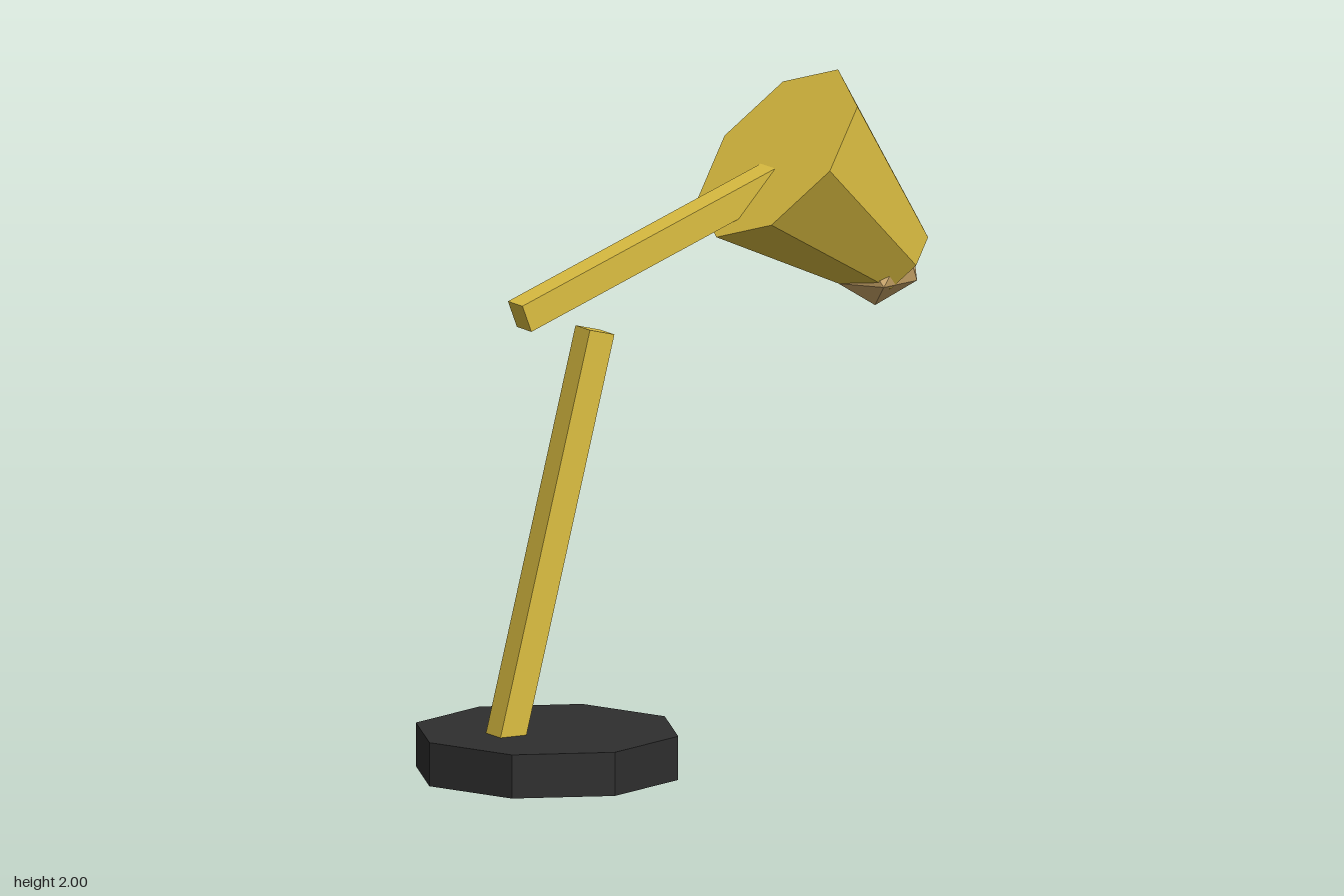
import * as THREE from 'three';

export function createModel() {
  const group = new THREE.Group();
  const material = (name, color) => {
    const m = new THREE.MeshStandardMaterial({ color });
    m.name = name;
    return m;
  };
  const gold = material('gold paint', 0xdcbe41);
  const black = material('black base', 0x2e2e2e);
  const glass = material('warm bulb', 0xd2ac6c);

  // Adds a faceted part, tilted about z by an angle in degrees
  const add = (name, geometry, mat, x, y, degrees = 0) => {
    const faceted = geometry.index ? geometry.toNonIndexed() : geometry;
    faceted.computeVertexNormals();
    const mesh = new THREE.Mesh(faceted, mat);
    mesh.name = name;
    mesh.position.set(x, y, 0);
    mesh.rotation.z = THREE.MathUtils.degToRad(degrees);
    group.add(mesh);
  };

  // Octagonal foot
  add('base', new THREE.CylinderGeometry(0.397, 0.397, 0.13, 8), black, -0.432, 0.065);

  // Two equal square arms; the upper one runs into the shade
  const arm = () => new THREE.BoxGeometry(0.085, 1.236, 0.085);
  add('lowerArm', arm(), gold, -0.423, 0.706, -14.3);
  add('upperArm', arm(), gold, 0.053, 1.59, -69.1);

  // Closed octagonal shade, wide end up and back, narrow end forward and down
  add('shade', new THREE.CylinderGeometry(0.308, 0.134, 0.525, 8), gold, 0.5405, 1.595, 48.2);

  // Bulb with one corner pointing straight down
  add('bulb', new THREE.IcosahedronGeometry(0.138, 0), glass, 0.675, 1.423, -31.72);

  return group;
}
